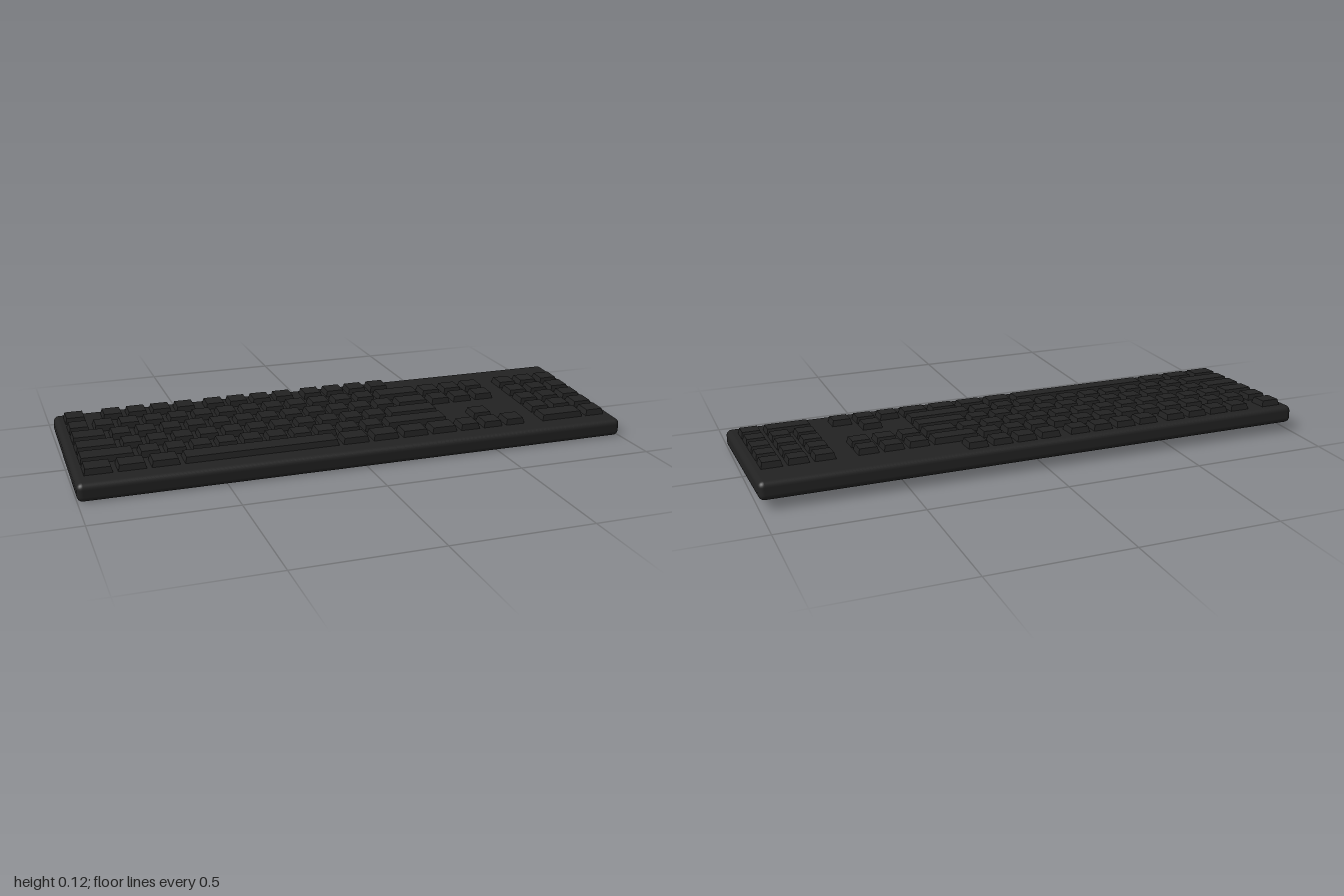
import * as THREE from 'three';
import { RoundedBoxGeometry } from 'three/addons/geometries/RoundedBoxGeometry.js';

const UNIT = 0.09;        // width of one key slot
const LEFT = -0.975;      // x where the key field starts
const GAP = 0.017;        // space between neighbouring keys
const KEY_DEPTH = 0.073;
const KEY_HEIGHT = 0.021;
const INSET = 0.005;      // taper of a keycap on each side
const CASE = { width: 2, height: 0.065, depth: 0.64, radius: 0.02 };

// Keycap: a box whose top is drawn in on all four sides
function keycapGeometry(width) {
  const geometry = new THREE.BoxGeometry(width, KEY_HEIGHT, KEY_DEPTH);
  const p = geometry.attributes.position;
  for (let i = 0; i < p.count; i++) {
    if (p.getY(i) > 0) {
      p.setX(i, p.getX(i) - Math.sign(p.getX(i)) * INSET);
      p.setZ(i, p.getZ(i) - Math.sign(p.getZ(i)) * INSET);
    }
  }
  geometry.translate(0, KEY_HEIGHT / 2, 0);
  geometry.computeVertexNormals();
  return geometry;
}

const ones = (n) => Array(n).fill(1);

// Each block is a starting slot followed by key widths, in slots
const PAD = 18.66;
const ROWS = [
  { name: 'functionRow', z: -0.249, blocks: [[0, [1]], [1.5, ones(4)], [5.75, ones(4)], [10, ones(4)]] },
  { name: 'numberRow', z: -0.151, blocks: [[0, [...ones(13), 2]], [15, ones(3)], [PAD, ones(3)]] },
  { name: 'upperRow', z: -0.059, blocks: [[0, [1.5, ...ones(12), 1.5]], [15, ones(3)], [PAD, ones(3)]] },
  { name: 'homeRow', z: 0.032, blocks: [[0, [1.75, ...ones(11), 2.25]], [PAD, ones(3)]] },
  { name: 'lowerRow', z: 0.122, blocks: [[0, [2.25, ...ones(10), 2.75]], [16, [1]], [PAD, ones(3)]] },
  { name: 'spaceRow', z: 0.212, blocks: [[0, [1.25, 1.25, 1.25, 6.25, 1.25, 1.25, 1.25, 1.25]], [15, ones(3)], [PAD, [2, 1]]] },
];

export function createModel() {
  const model = new THREE.Group();
  model.name = 'keyboard';
  const plastic = new THREE.MeshStandardMaterial({ color: 0x222222 });
  plastic.name = 'black plastic';

  // Everything is tilted so the back sits higher than the front
  const tilted = new THREE.Group();
  tilted.name = 'tiltedBody';
  tilted.position.y = 0.049;
  tilted.rotation.x = 0.055;
  model.add(tilted);

  // Case with rounded edges
  const shell = new THREE.Mesh(
    new RoundedBoxGeometry(CASE.width, CASE.height, CASE.depth, 3, CASE.radius), plastic);
  shell.name = 'case';
  tilted.add(shell);

  // Keys, row by row; keys of one width share a geometry
  const caps = new Map();
  for (const { name, z, blocks } of ROWS) {
    const row = new THREE.Group();
    row.name = name;
    row.position.set(0, CASE.height / 2, z);
    for (const [start, widths] of blocks) {
      let slot = start;
      for (const w of widths) {
        if (!caps.has(w)) caps.set(w, keycapGeometry(w * UNIT - GAP));
        const key = new THREE.Mesh(caps.get(w), plastic);
        key.name = w > 6 ? 'spaceBar' : 'key';
        key.position.x = LEFT + (slot + w / 2) * UNIT;
        row.add(key);
        slot += w;
      }
    }
    tilted.add(row);
  }
  return model;
}
